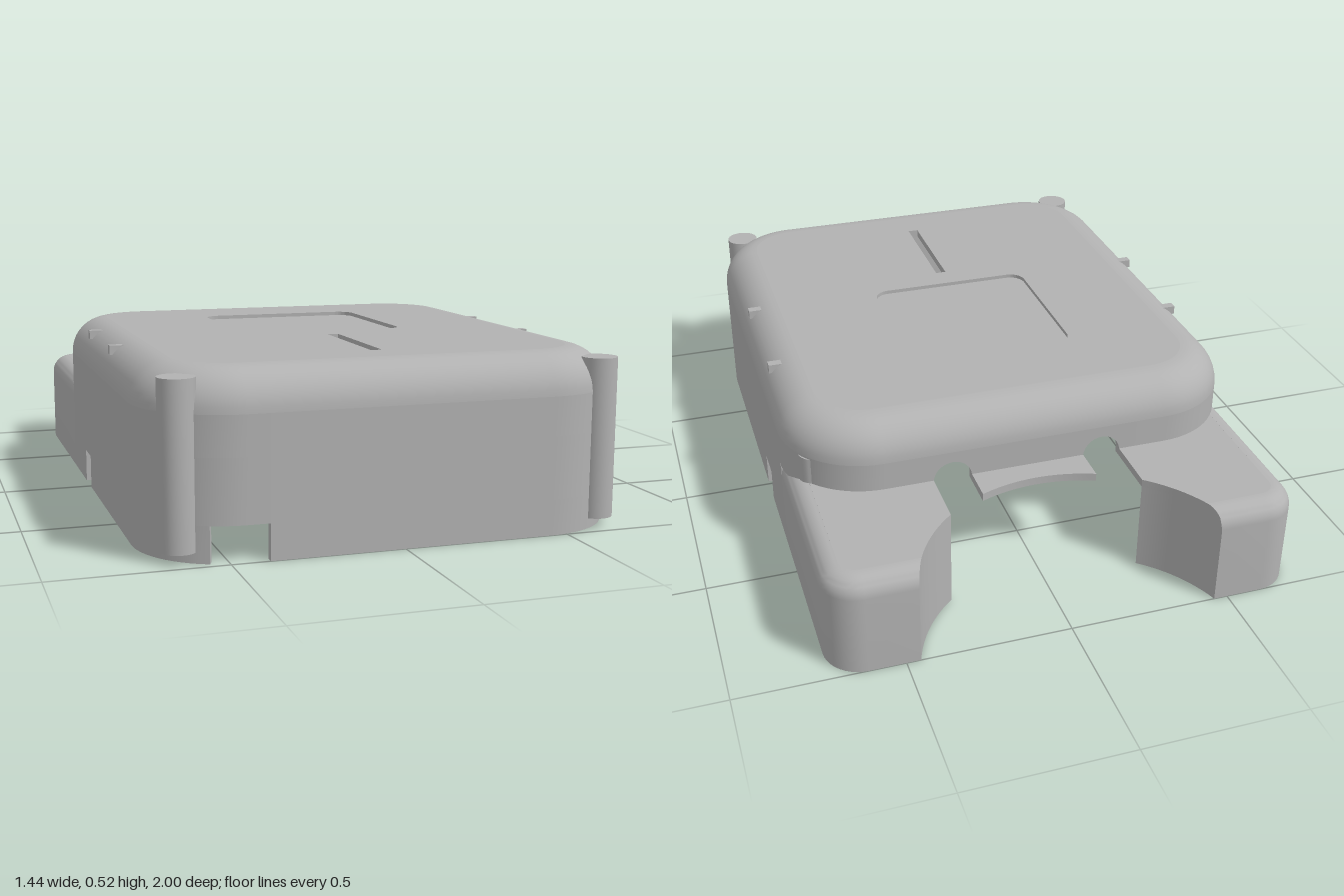
import * as THREE from 'three';
import { toCreasedNormals } from 'three/addons/utils/BufferGeometryUtils.js';

const T = 0.025;                       // wall thickness
const WX = 0.72, ZB = -0.59, RC = 0.27; // body half width, back, corner radius
const FIL = 0.12, TOP = 0.525;         // body top fillet and height
const ARC_R = 0.48, ARC_Z = -1.145;    // round cut-out at the back
const WING_H = 0.315, WING_F = 0.06;

export function createModel() {
  const model = new THREE.Group();
  const grey = new THREE.MeshStandardMaterial({ color: 0xb2b2b2, side: THREE.DoubleSide });

  const add = (name, geo, parent = model) => {
    const mesh = new THREE.Mesh(toCreasedNormals(geo, 0.5), grey);
    mesh.name = name;
    parent.add(mesh);
    return mesh;
  };

  // Grid surface through rows of [x, y, z] points
  const sheet = (rows) => {
    const pos = [], idx = [], n = rows[0].length;
    rows.forEach((row) => row.forEach((p) => pos.push(...p)));
    for (let r = 0; r < rows.length - 1; r++) {
      for (let c = 0; c < n - 1; c++) {
        const a = r * n + c, b = a + n;
        idx.push(a, a + 1, b, b, a + 1, b + 1);
      }
    }
    const g = new THREE.BufferGeometry();
    g.setAttribute('position', new THREE.Float32BufferAttribute(pos, 3));
    g.setIndex(idx);
    g.computeVertexNormals();
    return g;
  };

  // Sweep a profile of [inset, y] along a plan path (inset -> list of [x, z])
  const sweep = (path, profile) =>
    sheet(profile.map(([i, y]) => path(i).map(([x, z]) => [x, y, z])));

  // Upright wall with closed rims and ends
  const wall = (name, path, y0, y1) => {
    add(name, sweep(path, [[T, y1], [T, y0], [0, y0], [0, y1], [T, y1]]));
    const o = path(0), n = path(T);
    for (const k of [0, o.length - 1]) {
      add(name + 'End', sheet([y0, y1].map((y) => [o[k], n[k]].map(([x, z]) => [x, y, z]))));
    }
  };

  // Horizontal slab from a plan shape whose second axis is z
  const slab = (shape, top, depth) => {
    const g = new THREE.ExtrudeGeometry(shape, { depth, bevelEnabled: false, curveSegments: 12 });
    return g.rotateX(Math.PI / 2).translate(0, top, 0);
  };
  const toShape = (pts) => new THREE.Shape(pts.map(([x, z]) => new THREE.Vector2(x, z)));

  // Rounded top edge, outer from bottom to top
  const fillet = (i0, y0, r) => Array.from({ length: 11 }, (_, k) => {
    const a = (k / 10) * Math.PI / 2;
    return [i0 + r * (1 - Math.cos(a)), y0 + r * Math.sin(a)];
  });
  const edgeProfile = (y0, h, r) => [...fillet(T, y0, r - T).reverse(), ...fillet(0, y0, r)]
    .map(([i, y]) => [i, Math.min(y, h)]);

  // Plan path points are [x, z, normalX, normalZ]
  const corner = (cx, cz, deg) => Array.from({ length: 17 }, (_, k) => {
    const a = (deg + k * 90 / 16) * Math.PI / 180, c = Math.cos(a), s = Math.sin(a);
    return [cx + RC * c, cz + RC * s, c, s];
  });
  const insetPath = (pts) => (i) => pts.map(([x, z, nx, nz]) => [x - nx * i, z - nz * i]);
  const cx = WX - RC, zf = 1 - RC, zb = ZB + RC;
  const frontCorners = [...corner(cx, zf, 0), [-0.39, 1, 0, 1], ...corner(-cx, zf, 90)];

  // Lower walls, with cable notches in the front and both sides
  const lower = [
    [WX, -0.34, 1, 0], [WX, -0.085, 1, 0], [WX, 0.015, 1, 0],
    ...frontCorners,
    [-WX, 0.015, -1, 0], [-WX, -0.085, -1, 0], [-WX, -0.34, -1, 0],
  ];
  for (const [a, b] of [[0, 1], [2, 20], [25, 38], [39, 40]]) {
    wall('notchedRim', insetPath(lower.slice(a, b + 1)), 0, 0.105);
  }
  wall('lowerWall', insetPath(lower), 0.105, 0.29);

  // Upper walls and rounded top edge
  const ring = [...corner(cx, zb, -90), ...frontCorners, ...corner(-cx, zb, 180)];
  const y0 = TOP - FIL;
  wall('upperWall', insetPath([[0.3, ZB, 0, -1], ...ring, [-0.3, ZB, 0, -1]]), 0.29, y0);
  add('roundedTopEdge', sweep(insetPath([...ring, ring[0]]), edgeProfile(y0, TOP, FIL)));

  // Back wall piece with two arches
  const back = new THREE.Shape();
  back.moveTo(-0.18, 0.29);
  back.lineTo(0.18, 0.29);
  back.lineTo(0.18, 0.31);
  back.absarc(0.24, 0.31, 0.06, Math.PI, 0, true);
  back.lineTo(0.3, y0);
  back.lineTo(-0.3, y0);
  back.lineTo(-0.3, 0.31);
  back.absarc(-0.24, 0.31, 0.06, Math.PI, 0, true);
  back.lineTo(-0.18, 0.29);
  add('archedBackWall', new THREE.ExtrudeGeometry(back, { depth: T, bevelEnabled: false })
    .translate(0, 0, ZB));

  // Roof with a shallow square recess and a slot
  const roofPts = insetPath(ring)(FIL);
  const slot = () => toShape([[-0.017, 0.37], [0.017, 0.37], [0.017, 0.755], [-0.017, 0.755]]);
  const recess = new THREE.Path();
  const [x1, z0, z1, q] = [0.267, -0.245, 0.283, 0.05];
  recess.absarc(x1 - q, z1 - q, q, 0, Math.PI / 2);
  recess.absarc(-x1 + q, z1 - q, q, Math.PI / 2, Math.PI);
  recess.absarc(-x1 + q, z0 + q, q, Math.PI, Math.PI * 1.5);
  recess.absarc(x1 - q, z0 + q, q, Math.PI * 1.5, Math.PI * 2);
  const roofUpper = toShape(roofPts), roofLower = toShape(roofPts);
  roofUpper.holes.push(slot(), recess);
  roofLower.holes.push(slot());
  add('roof', slab(roofUpper, TOP, 0.012));
  add('recessFloor', slab(roofLower, TOP - 0.012, T - 0.012));

  // Points on the round cut-out, from z = za to z = zb
  const arcX = (z, r = ARC_R) => Math.sqrt(r * r - (z - ARC_Z) ** 2);
  const arcZ = (x) => ARC_Z + Math.sqrt(ARC_R ** 2 - x * x);

  // Back wings, one per side
  const wingY = WING_H - WING_F, tip = -1 + WING_F;
  const wingPath = (i) => {
    const pts = [[arcX(-1 + i), -1 + i]];
    for (let k = 0; k <= 10; k++) {
      const a = (k / 10 - 1) * Math.PI / 2;
      pts.push([0.61 + (0.11 - i) * Math.cos(a), -0.89 + (0.11 - i) * Math.sin(a)]);
    }
    return [...pts, [WX - i, -0.34]];
  };
  for (const side of [1, -1]) {
    const wing = new THREE.Group();
    wing.name = side > 0 ? 'leftWing' : 'rightWing';
    wing.scale.x = side;
    model.add(wing);

    const rim = edgeProfile(wingY, WING_H, WING_F);
    add('wingShell', sweep(wingPath, [...rim.slice(0, 11), [T, 0], [0, 0], ...rim.slice(11)]), wing);

    // Curved wall along the cut-out
    const angles = Array.from({ length: 25 }, (_, k) => {
      const a0 = Math.atan2(-1 - ARC_Z, arcX(-1)), a1 = Math.acos(0.3 / ARC_R);
      return a0 + (a1 - a0) * k / 24;
    });
    const row = (r, high) => angles.map((a) => {
      const z = ARC_Z + ARC_R * Math.sin(a);
      const d = Math.max(0, tip - z);
      const h = wingY + Math.sqrt(Math.max(0, WING_F ** 2 - d * d));
      return [r * Math.cos(a), high ? h : 0, ARC_Z + r * Math.sin(a)];
    });
    const rows = [row(ARC_R + T, true), row(ARC_R + T, false), row(ARC_R, false), row(ARC_R, true)];
    add('curvedWall', sheet(rows), wing);
    add('curvedWallEnd', sheet([[rows[0][24], rows[3][24]], [rows[1][24], rows[2][24]]]), wing);

    // Wing roof, fitted against the body corner
    const pts = wingPath(WING_F).slice(0, -1);
    for (let k = 0; k <= 8; k++) {
      const a = -(39 + k * 51 / 8) * Math.PI / 180;
      pts.push([cx + RC * Math.cos(a), zb + RC * Math.sin(a)]);
    }
    pts.push([0.3, ZB]);
    for (let k = 0; k < 12; k++) {
      const z = arcZ(0.3) + (tip - arcZ(0.3)) * k / 12;
      pts.push([arcX(z), z]);
    }
    add('wingRoof', slab(toShape(pts), WING_H, T), wing);

    // Small side pegs
    for (const z of [-0.08, 0.31]) {
      add('sidePeg', new THREE.BoxGeometry(0.08, 0.028, 0.028).translate(0.66, 0.496, z), wing);
    }
  }

  // Tongue between the arches
  const tongue = [[-0.18, ZB + T], [0.18, ZB + T]];
  for (let k = 0; k <= 12; k++) {
    const x = 0.18 - 0.36 * k / 12;
    tongue.push([x, arcZ(x)]);
  }
  add('backTongue', slab(toShape(tongue), WING_H, T));

  // Screw posts with blind holes underneath
  const posts = [[0.627, 0.925, 0.503], [-0.627, 0.925, 0.503], [0.63, -0.45, 0.4], [-0.57, -0.62, 0.3]];
  for (const [x, z, top] of posts) {
    const profile = [[0, 0.11], [0.02, 0.11], [0.02, 0.03], [0.053, 0.03], [0.053, top], [0, top]];
    add('screwPost', new THREE.LatheGeometry(profile.map((p) => new THREE.Vector2(...p)), 32)
      .translate(x, 0, z));
  }

  // Two inner ribs hanging from the roof beside the right wall
  const rib = new THREE.Shape();
  rib.moveTo(-0.33, 0.19);
  rib.lineTo(-0.33, 0.505);
  rib.lineTo(-0.6, 0.505);
  rib.absarc(-0.6, 0.405, 0.1, Math.PI / 2, Math.PI, false);
  rib.lineTo(-0.7, 0.19);
  for (const z of [-0.17, 0.18]) {
    add('innerRib', new THREE.ExtrudeGeometry(rib, { depth: 0.02, bevelEnabled: false }).translate(0, 0, z));
  }
  return model;
}
